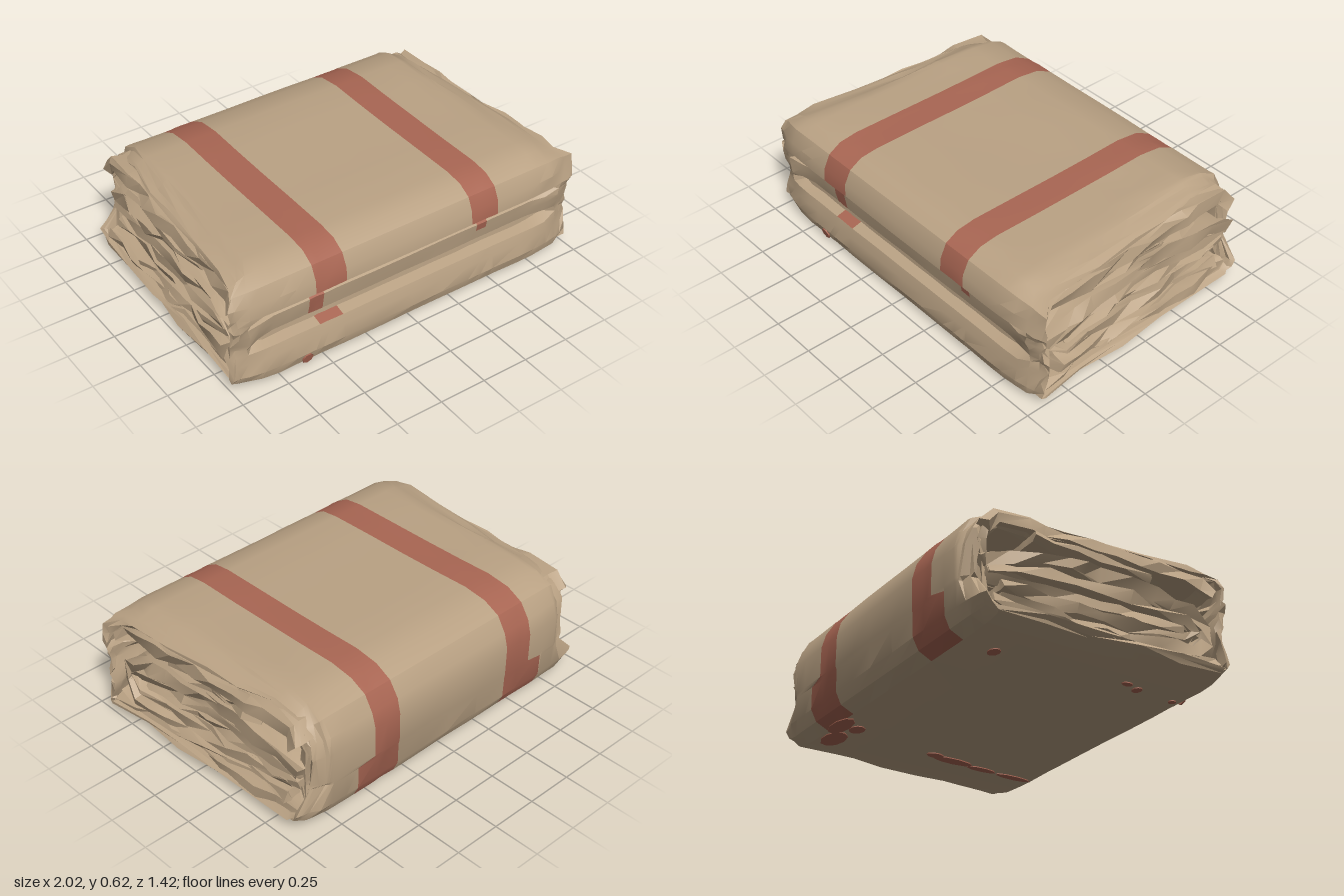
import * as THREE from 'three';
import { toCreasedNormals } from 'three/addons/utils/BufferGeometryUtils.js';

// Repeatable noise in -1..1
const noise = (a, b, c) => {
  const s = Math.sin(a * 127.1 + b * 311.7 + c * 74.7) * 43758.5453;
  return (s - Math.floor(s)) * 2 - 1;
};

// Split the long segments of a [z, y] path
function subdivide(path, step, closed) {
  const out = [];
  const n = closed ? path.length : path.length - 1;
  for (let k = 0; k < n; k++) {
    const a = path[k], b = path[(k + 1) % path.length];
    const m = Math.max(1, Math.round(Math.hypot(b[0] - a[0], b[1] - a[1]) / step));
    for (let q = 0; q < m; q++) out.push([a[0] + (b[0] - a[0]) * q / m, a[1] + (b[1] - a[1]) * q / m]);
  }
  if (!closed) out.push(path[path.length - 1]);
  return out;
}

// Columns across the width; extra ones mark the stripe edges
const COLUMNS = [-0.97, -0.945, -0.9, -0.84, -0.76, -0.67, -0.565, -0.525, -0.485, -0.395, -0.2, 0,
  0.18, 0.34, 0.42, 0.48, 0.5, 0.67, 0.76, 0.84, 0.9, 0.945, 0.97];

// A thick cloth layer: a [z, y] path swept across x, crumpled towards both ends
function clothLayer(o, materials) {
  const path = subdivide(o.path, o.step, o.closed);
  const n = path.length, last = COLUMNS.length - 1;
  const at = (j) => path[o.closed ? (j + n) % n : Math.min(Math.max(j, 0), n - 1)];
  const sides = [[], []];
  COLUMNS.forEach((x0, i) => {
    const rim = Math.max(0, (Math.abs(x0) - 0.78) / 0.19);
    const rows = [[], []];
    for (let j = 0; j < n; j++) {
      const [z0, y0] = at(j), a = at(j - 1), b = at(j + 1);
      const len = Math.hypot(b[0] - a[0], b[1] - a[1]);
      const nz = (b[1] - a[1]) / len, ny = -(b[0] - a[0]) / len;
      const groove = o.groove ? o.groove(x0, z0, y0) : 0;
      const shift = o.shift ? o.shift(x0, z0, y0) : 0;
      for (const s of [0, 1]) {
        const amp = o.calm + o.crumple * rim;
        const seed = o.seed + s * 7;
        // Rounded rim: both faces close in on each other
        const inset = s === 0 ? o.drop * rim * rim : o.thick * (1 - 0.2 * rim * rim);
        let d = -inset + amp * noise(i, j, seed);
        if (s === 0 && o.closed && y0 < 0.02 && rim === 0) d = 0;
        const x = (x0 * o.width + shift) * (1 + 0.04 * z0 * rim) + rim * o.fray * noise(j, i, seed + 3);
        const z = z0 + nz * d - groove * (s ? 0.6 : 1) + rim * 0.008 * noise(i, j, seed + 5);
        rows[s].push([x, Math.min(0.625, Math.max(0.004, y0 + ny * d)), z]);
      }
    }
    sides[0].push(rows[0]);
    sides[1].push(rows[1]);
  });

  const lists = [[], []];
  const quad = (m, a, b, c, d) => lists[m].push(...a, ...b, ...c, ...a, ...c, ...d);
  const [out, inn] = sides;
  const segs = o.closed ? n : n - 1;
  for (let j = 0; j < segs; j++) {
    const k = (j + 1) % n;
    const mz = (path[j][0] + path[k][0]) / 2, my = (path[j][1] + path[k][1]) / 2;
    for (let i = 0; i < last; i++) {
      const mx = (COLUMNS[i] + COLUMNS[i + 1]) / 2;
      const m = o.painted && o.painted(mx, mz, my) ? 1 : 0;
      quad(m, out[i][j], out[i + 1][j], out[i + 1][k], out[i][k]);
      quad(0, inn[i][k], inn[i + 1][k], inn[i + 1][j], inn[i][j]);
    }
    quad(0, out[0][j], out[0][k], inn[0][k], inn[0][j]);
    quad(0, inn[last][j], inn[last][k], out[last][k], out[last][j]);
  }
  if (!o.closed) {
    const e = n - 1;
    for (let i = 0; i < last; i++) {
      quad(0, out[i][0], inn[i][0], inn[i + 1][0], out[i + 1][0]);
      quad(0, out[i + 1][e], inn[i + 1][e], inn[i][e], out[i][e]);
    }
  }
  let geo = new THREE.BufferGeometry();
  geo.setAttribute('position', new THREE.Float32BufferAttribute(lists[0].concat(lists[1]), 3));
  geo.addGroup(0, lists[0].length / 3, 0);
  if (lists[1].length) geo.addGroup(lists[0].length / 3, lists[1].length / 3, 1);
  geo = toCreasedNormals(geo, 0.45);
  const mesh = new THREE.Mesh(geo, materials);
  mesh.name = o.name;
  return mesh;
}

// Slits between the folds along the front, ending before the corners
function frontGroove(x, z, y) {
  if (z < 0.5 || y < 0.16 || y > 0.43) return 0;
  const fade = THREE.MathUtils.clamp((0.9 - Math.abs(x)) / 0.1, 0, 1);
  const slit = Math.max(0, 1 - Math.abs(y - 0.385) / 0.03, 1 - Math.abs(y - 0.23) / 0.025);
  const middle = y > 0.22 && y < 0.39 ? 0.05 : 0;
  return fade * Math.max(middle, 0.11 * slit);
}

// Stripes widen low on the back; the rim is pulled in along the top and back
function wrapShift(x, z, y) {
  const ax = Math.abs(x), out = Math.sign(x);
  if (ax > 0.8) {
    const pull = Math.min(1, (ax - 0.76) / 0.14) * out;
    if (z < -0.62 && y > 0.15) return -0.09 * pull;
    return y > 0.59 ? (0.05 * z - 0.07) * pull : 0;
  }
  if (z > -0.6 || y > 0.23 || ax > 0.6 || ax < 0.49) return 0;
  return 0.1 * out;
}

// Where the wrap is red
function inStripe(x, z, y) {
  const left = x > 0.34 && x < 0.5, right = x > -0.565 && x < -0.395;
  if (!left && !right) return false;
  if (z > 0.5 && y < 0.385) {
    if (left) return x > 0.42 && x < 0.48 && y > 0.31;
    return y > 0.255 ? x < -0.485 : x > -0.525 && y > 0.2;
  }
  return y > 0.02;
}

export function createModel() {
  const tan = new THREE.MeshStandardMaterial({ color: 0xbaa284 });
  tan.name = 'tan cloth';
  const red = new THREE.MeshStandardMaterial({ color: 0xa96653 });
  red.name = 'faded red';
  const materials = [tan, red];
  const group = new THREE.Group();
  group.name = 'foldedBlanket';

  // Outer wrap, all the way round
  group.add(clothLayer({
    name: 'outerWrap', closed: true, step: 0.24, thick: 0.075, width: 1, seed: 1,
    calm: 0.002, crumple: 0.009, drop: 0.04, fray: 0.016,
    groove: frontGroove, shift: wrapShift, painted: inStripe,
    path: [[0.65, 0.006], [0.69, 0.03], [0.705, 0.08], [0.695, 0.15], [0.68, 0.2], [0.68, 0.23], [0.69, 0.255],
      [0.7, 0.31], [0.705, 0.35], [0.705, 0.385], [0.71, 0.42], [0.705, 0.49], [0.67, 0.56], [0.6, 0.6],
      [0.5, 0.613], [0, 0.613], [-0.42, 0.622], [-0.55, 0.605], [-0.64, 0.56], [-0.69, 0.48], [-0.71, 0.4],
      [-0.71, 0.24], [-0.705, 0.22], [-0.7, 0.1], [-0.67, 0.04], [-0.6, 0.006]],
  }, materials));

  // Inner folds, seen at both ends
  const folds = [
    { name: 'upperFold', thick: 0.085, width: 0.96, seed: 21,
      path: [[0.65, 0.48], [0.58, 0.53], [0.45, 0.555], [0.2, 0.555], [-0.2, 0.56], [-0.4, 0.58], [-0.58, 0.565],
        [-0.65, 0.5]] },
    { name: 'hangingFold', thick: 0.045, width: 0.95, seed: 27,
      path: [[0.28, 0.485], [0.1, 0.48], [-0.15, 0.49], [-0.38, 0.505]] },
    { name: 'lowerFold', thick: 0.06, width: 0.97, seed: 33,
      path: [[-0.62, 0.07], [0, 0.05], [0.5, 0.05], [0.64, 0.07]] },
    { name: 'backFold', thick: 0.05, width: 0.92, seed: 39,
      path: [[-0.62, 0.52], [-0.645, 0.42], [-0.645, 0.32], [-0.63, 0.22], [-0.645, 0.1]] },
    { name: 'middleFold', thick: 0.085, width: 0.955, seed: 45,
      path: [[-0.56, 0.095], [-0.3, 0.07], [0, 0.07], [0.3, 0.075], [0.52, 0.09], [0.63, 0.18], [0.62, 0.29],
        [0.5, 0.37], [0.3, 0.405], [0, 0.44], [-0.2, 0.43], [-0.5, 0.395], [-0.64, 0.35]] },
    { name: 'coreFold', thick: 0.065, width: 0.945, seed: 57,
      path: [[-0.55, 0.17], [-0.3, 0.15], [0, 0.145], [0.3, 0.15], [0.48, 0.165], [0.565, 0.24], [0.48, 0.315],
        [0.3, 0.335], [0, 0.355], [-0.3, 0.345], [-0.62, 0.315]] },
    { name: 'tuckedEnd', thick: 0.07, width: 0.925, seed: 69,
      path: [[0.46, 0.27], [0.2, 0.275], [0, 0.28], [-0.3, 0.275], [-0.62, 0.265]] },
  ];
  for (const f of folds) {
    group.add(clothLayer({ step: 0.13, calm: 0.003, crumple: 0.013, drop: 0.006, fray: 0.028, ...f }, materials));
  }

  // Stains where the stripes run out under the bundle: [x, z, radius x, radius z]
  const stains = [[0.67, -0.53, 0.1, 0.06], [0.5, -0.58, 0.11, 0.05], [0.5, -0.49, 0.05, 0.04],
    [0.58, 0.02, 0.03, 0.05], [0.6, 0.14, 0.035, 0.12], [0.62, 0.33, 0.025, 0.09], [0.63, 0.54, 0.025, 0.11],
    [-0.64, -0.42, 0.04, 0.03], [-0.69, 0.3, 0.02, 0.03], [-0.66, 0.38, 0.03, 0.025], [-0.64, 0.61, 0.02, 0.02]];
  for (const [x, z, rx, rz] of stains) {
    const stain = new THREE.Mesh(new THREE.CylinderGeometry(1, 1, 0.005, 9), red);
    stain.scale.set(rx, 1, rz);
    stain.position.set(x, 0.0035, z);
    stain.name = 'underStain';
    group.add(stain);
  }
  const spot = new THREE.Mesh(new THREE.CylinderGeometry(0.03, 0.03, 0.008, 7), red);
  spot.rotation.x = Math.PI / 2 + 0.25;
  spot.position.set(-0.61, 0.05, 0.7);
  spot.name = 'frontSpot';
  group.add(spot);
  return group;
}
